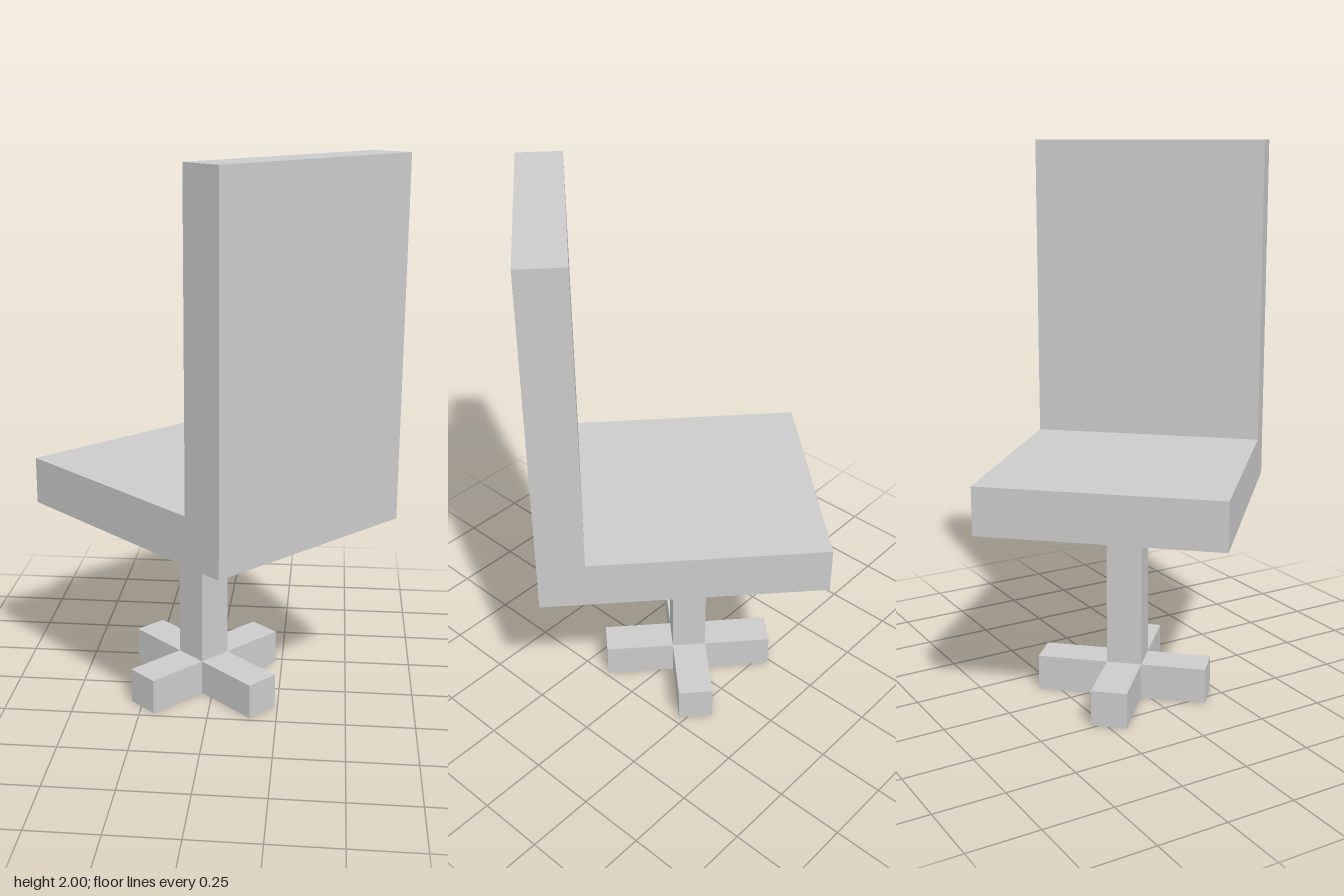
import * as THREE from 'three';

const material = new THREE.MeshStandardMaterial({ color: 0xcccccc, flatShading: true });

// Extrude a closed outline of [x, y] points along +z
function extrude(points, depth) {
  const shape = new THREE.Shape(points.map(([x, y]) => new THREE.Vector2(x, y)));
  return new THREE.ExtrudeGeometry(shape, { depth, bevelEnabled: false });
}

function addPart(parent, name, geometry) {
  const mesh = new THREE.Mesh(geometry, material);
  mesh.name = name;
  parent.add(mesh);
  return mesh;
}

export function createModel() {
  const group = new THREE.Group();
  group.name = 'chair';

  // The whole chair is turned about the vertical axis
  const chair = new THREE.Group();
  chair.name = 'turnedChair';
  chair.rotation.y = -0.743;
  group.add(chair);

  // Seat and backrest: one L-shaped profile
  const halfLength = 0.504, width = 0.86;
  const seatBottom = 0.713, seatTop = 0.885, backInner = 0.341;
  const profile = [
    [-halfLength, seatBottom], [halfLength, seatBottom], [halfLength, 2],
    [backInner, 2], [backInner, seatTop], [-halfLength, seatTop],
  ];
  addPart(chair, 'seatAndBackrest', extrude(profile, width).translate(0, 0, -width / 2));

  // Pedestal, slightly off the seat centre
  const pedestal = new THREE.Group();
  pedestal.name = 'pedestal';
  pedestal.position.set(-0.052, 0, 0.005);
  chair.add(pedestal);

  // Square post
  const h = 0.064, baseHeight = 0.13;
  const postHeight = seatBottom - baseHeight;
  addPart(pedestal, 'post', new THREE.BoxGeometry(2 * h, postHeight, 2 * h))
    .position.y = baseHeight + postHeight / 2;

  // Cross-shaped foot
  const right = 0.324, left = -0.319, back = 0.324, front = -0.3;
  const cross = [
    [right, -h], [right, h], [h, h], [h, back], [-h, back], [-h, h],
    [left, h], [left, -h], [-h, -h], [-h, front], [h, front], [h, -h],
  ];
  addPart(pedestal, 'crossFoot', extrude(cross, baseHeight).rotateX(-Math.PI / 2));

  return group;
}
